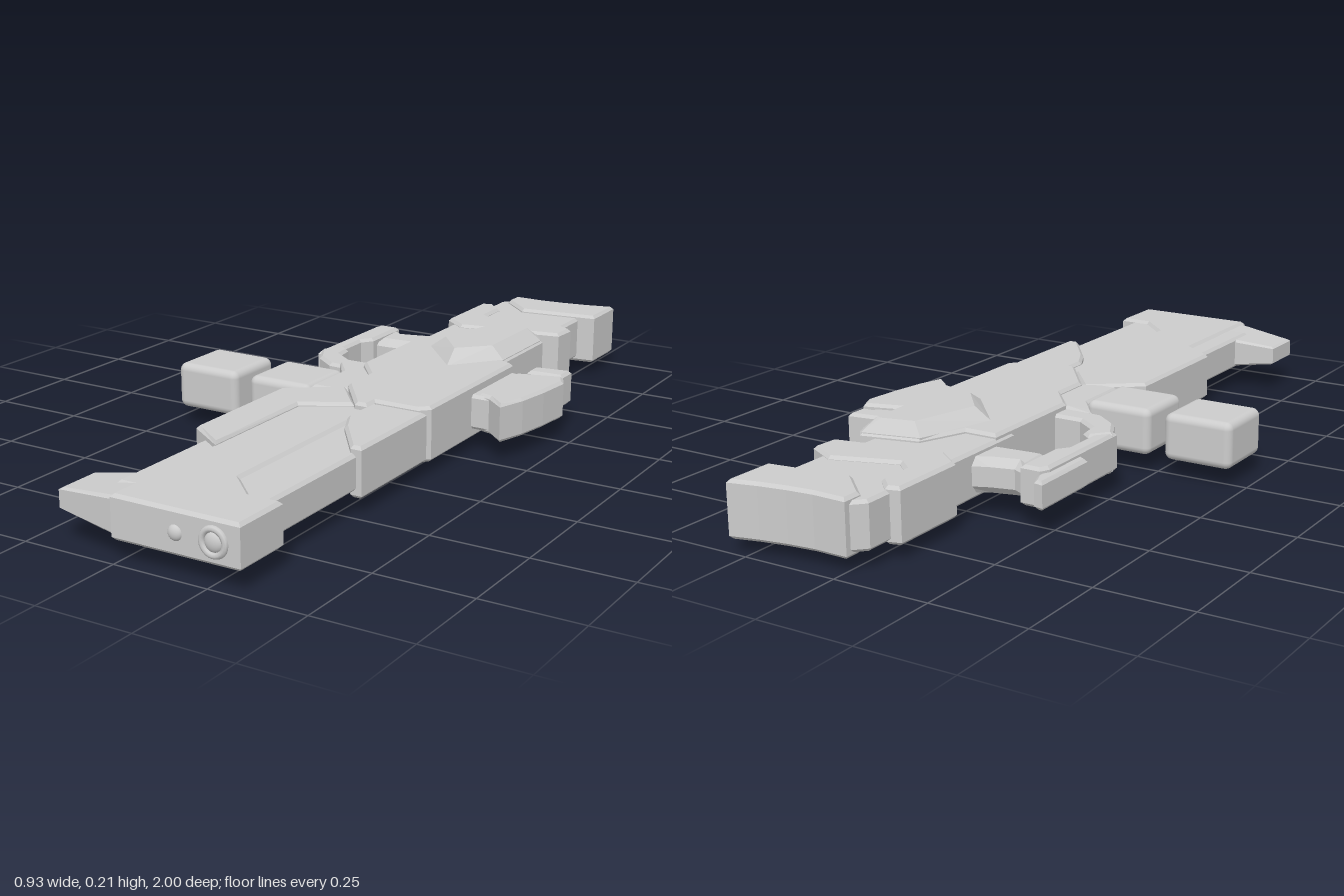
import * as THREE from 'three';
import { RoundedBoxGeometry } from 'three/addons/geometries/RoundedBoxGeometry.js';
import { ConvexGeometry } from 'three/addons/geometries/ConvexGeometry.js';

const MID = 0.105; // height of the plane the model is mirrored about

export function createModel() {
  const model = new THREE.Group();
  model.name = 'rifle';
  const grey = new THREE.MeshStandardMaterial({ color: 0xcccccc });
  grey.name = 'light grey';

  function add(name, geometry) {
    const mesh = new THREE.Mesh(geometry, grey);
    mesh.name = name;
    model.add(mesh);
    return mesh;
  }

  // Bevelled slab from an [x, z] outline, centred on MID
  function slab(name, outline, half, bevel = 0.008) {
    const shape = new THREE.Shape(outline.map(([x, z]) => new THREE.Vector2(x, -z)));
    const geometry = new THREE.ExtrudeGeometry(shape, {
      depth: 2 * (half - bevel), bevelEnabled: true, bevelThickness: bevel,
      bevelSize: bevel, bevelOffset: -bevel, bevelSegments: 1,
    });
    geometry.translate(0, 0, bevel - half);
    geometry.rotateX(-Math.PI / 2);
    geometry.translate(0, MID, 0);
    return add(name, geometry);
  }

  // Stock
  slab('buttPad', [[-0.01, -0.965], [0.08, -0.963], [0.15, -0.97], [0.22, -0.982], [0.295, -1],
    [0.295, -0.86], [0.075, -0.83], [-0.01, -0.91]], 0.071);
  slab('stockCore', [[-0.04, -0.92], [-0.01, -0.95], [0.08, -0.86], [0.245, -0.88], [0.245, -0.7],
    [0.225, -0.6], [0.225, -0.35], [-0.04, -0.35]], 0.06);
  slab('stockBand', [[-0.065, -0.84], [-0.03, -0.85], [0.01, -0.81], [0.01, -0.725], [0.045, -0.695],
    [0.21, -0.75], [0.29, -0.705], [0.285, -0.635], [0, -0.58], [-0.065, -0.63]], 0.069);

  // Receiver and its faceted bulge on both faces
  slab('receiver', [[-0.035, -0.42], [0.055, -0.42], [0.105, -0.54], [0.255, -0.575], [0.278, -0.545],
    [0.278, -0.31], [0.31, -0.295], [0.31, 0.15], [0.285, 0.175], [0.165, 0.175], [0.165, 0.215],
    [0.13, 0.215], [0.03, 0.085], [0.03, -0.02], [-0.035, -0.1]], 0.072);
  const bulgeBase = [[0.105, -0.535], [0.255, -0.57], [0.273, -0.54], [0.273, -0.31], [0.17, -0.185], [0.04, -0.33]];
  const bulgeTop = [[0.135, -0.515], [0.22, -0.535], [0.235, -0.53], [0.235, -0.32], [0.16, -0.245], [0.085, -0.335]];
  const bulge = [];
  for (const side of [-1, 1]) {
    bulgeBase.forEach(([x, z]) => bulge.push(new THREE.Vector3(x, MID + side * 0.071, z)));
    bulgeTop.forEach(([x, z]) => bulge.push(new THREE.Vector3(x, MID + side * 0.104, z)));
  }
  add('receiverBulge', new ConvexGeometry(bulge));

  // Grip and trigger guard
  slab('grip', [[-0.18, -0.52], [-0.14, -0.5], [-0.08, -0.515], [-0.02, -0.54], [-0.02, -0.41],
    [-0.08, -0.405], [-0.14, -0.4], [-0.18, -0.4]], 0.045, 0.02);
  slab('gripEnd', [[-0.26, -0.57], [-0.235, -0.565], [-0.22, -0.53], [-0.22, -0.35], [-0.26, -0.37]], 0.036);
  slab('guardRail', [[-0.237, -0.5], [-0.225, -0.525], [-0.172, -0.525], [-0.172, -0.38], [-0.195, -0.35],
    [-0.195, -0.2], [-0.237, -0.19]], 0.05);
  slab('guardCurve', [[-0.237, -0.21], [-0.195, -0.26], [-0.17, -0.24], [-0.165, -0.195], [-0.11, -0.155],
    [-0.02, -0.155], [0.04, -0.1], [0.04, 0], [-0.06, -0.09], [-0.14, -0.095], [-0.2, -0.14]], 0.054);
  slab('guardRoot', [[-0.11, -0.1], [-0.03, -0.1], [0.04, -0.02], [0.04, 0.1], [-0.01, 0.12],
    [-0.06, 0.12], [-0.06, -0.03]], 0.062);

  // Side block and the separate floating block
  for (const [name, x, width] of [['sideBlock', -0.146, 0.186], ['floatingBlock', -0.374, 0.188]]) {
    add(name, new RoundedBoxGeometry(width, 0.122, 0.18, 3, 0.02)).position.set(x, 0.108, 0.055);
  }

  // Magazine
  slab('magazineMount', [[0.27, -0.31], [0.31, -0.3], [0.365, -0.285], [0.365, -0.06], [0.27, -0.06]], 0.046);
  slab('magazine', [[0.325, -0.285], [0.445, -0.32], [0.465, -0.28], [0.455, -0.18], [0.44, -0.09],
    [0.415, -0.012], [0.36, -0.06], [0.325, -0.07]], 0.051);
  slab('magazineNeck', [[0.35, -0.345], [0.42, -0.345], [0.42, -0.29], [0.35, -0.27]], 0.038);
  slab('magazineCap', [[0.335, -0.38], [0.435, -0.395], [0.435, -0.335], [0.335, -0.33]], 0.046);

  // Fore end
  slab('lowerShroud', [[-0.11, 0.185], [0.025, 0.085], [0.12, 0.2], [0, 0.27], [0, 0.62], [-0.11, 0.545]], 0.064);
  slab('upperShroud', [[0.155, 0.175], [0.31, 0.175], [0.31, 0.48], [0.28, 0.48], [0.19, 0.36], [0.155, 0.29]], 0.064);
  slab('barrelCore', [[-0.065, 0.45], [0.05, 0.15], [0.295, 0.15], [0.295, 0.9], [-0.065, 0.9]], 0.046);
  slab('barrelShroud', [[-0.01, 0.265], [0.11, 0.17], [0.165, 0.215], [0.165, 0.755], [0.245, 0.832],
    [0.33, 0.832], [0.33, 0.99], [-0.01, 0.99]], 0.054);

  // Fin at the muzzle, thinning towards its tip
  const fin = slab('muzzleFin', [[-0.178, 0.84], [-0.065, 0.815], [0, 0.815], [0, 0.985], [-0.178, 0.962]], 0.05).geometry;
  const p = fin.attributes.position;
  for (let i = 0; i < p.count; i++) {
    const scale = THREE.MathUtils.mapLinear(p.getX(i), -0.178, 0, 0.52, 0.95);
    p.setY(i, MID + (p.getY(i) - MID) * scale);
  }
  fin.computeVertexNormals();

  // Muzzle ring and lenses
  add('muzzleRing', new THREE.TorusGeometry(0.03, 0.008, 8, 24)).position.set(0.262, MID, 0.99);
  const lens = (name, x, radius) => {
    const mesh = add(name, new THREE.SphereGeometry(radius, 20, 12));
    mesh.position.set(x, MID, 0.987);
    mesh.scale.z = 0.013 / radius;
  };
  lens('muzzleLens', 0.262, 0.024);
  lens('smallLens', 0.162, 0.019);

  return model;
}
